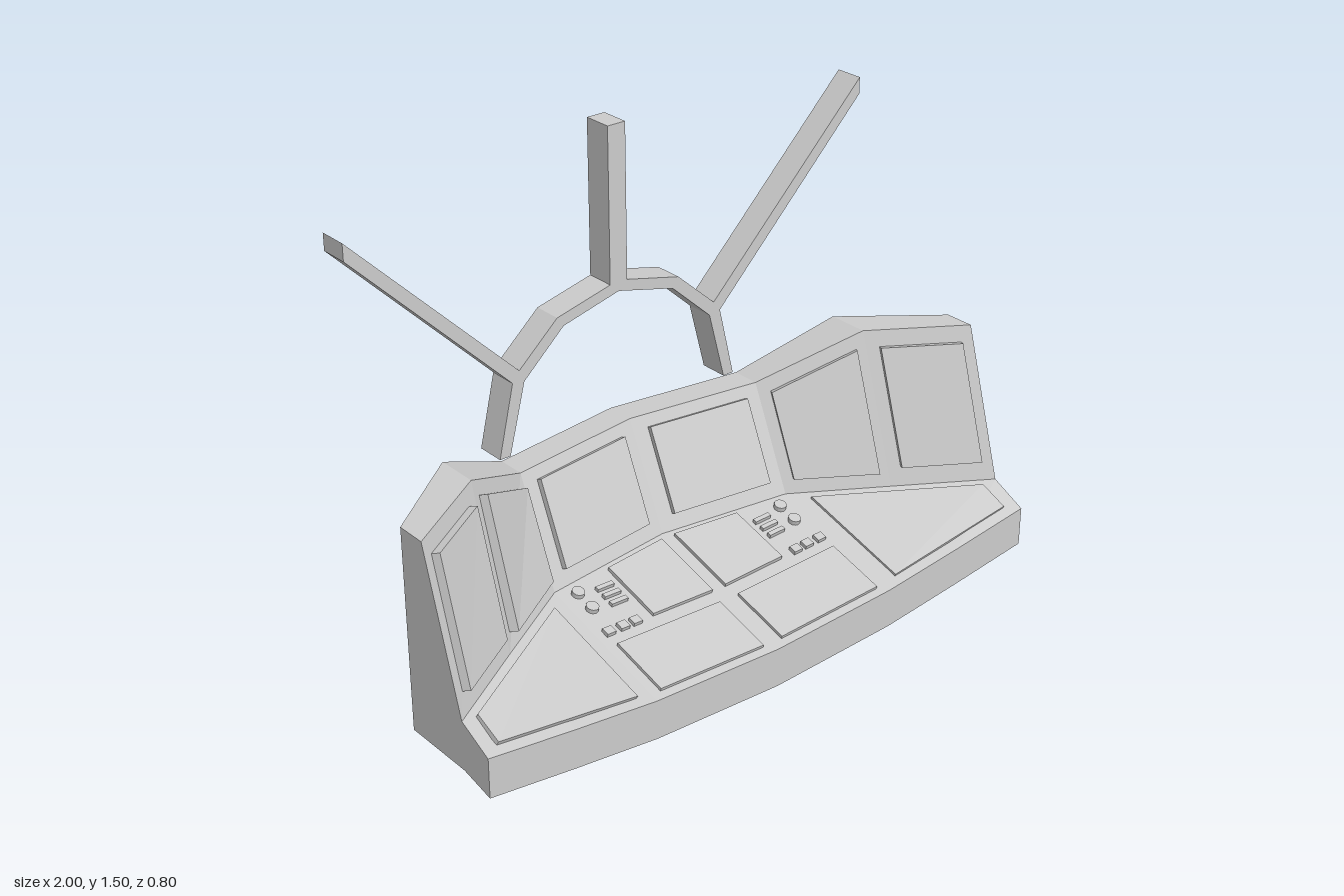
import * as THREE from 'three';

const material = new THREE.MeshStandardMaterial({ color: 0xcccccc, flatShading: true });
const V = (x, y, z) => new THREE.Vector3(x, y, z);

// Half stations: x, front lip bottom y, screen-bank foot z, bank top z, top y, back z
const STATIONS = [
  { x: 0, lip: 0, foot: -0.117, top: -0.265, h: 0.595, back: -0.355 },
  { x: 0.44, lip: 0.02, foot: -0.06, top: -0.205, h: 0.595, back: -0.295 },
  { x: 0.72, lip: 0.053, foot: 0.112, top: -0.035, h: 0.745, back: -0.168 },
  { x: 1, lip: 0.09, foot: 0.287, top: 0.145, h: 0.745, back: 0.05 },
];
const FRONT = 0.4, LIP = 0.125, FOOT_Y = 0.27, BASE_Y = 0.115;

// Station values interpolated at any x >= 0
function stationAt(x) {
  const i = x < 0.44 ? 0 : x < 0.72 ? 1 : 2;
  const a = STATIONS[i], b = STATIONS[i + 1], t = (x - a.x) / (b.x - a.x);
  const s = {};
  for (const k in a) s[k] = THREE.MathUtils.lerp(a[k], b[k], t);
  return s;
}

// Point on the sloping screen bank
function bankPoint(x, y) {
  const s = stationAt(x);
  return V(x, y, THREE.MathUtils.mapLinear(y, FOOT_Y, s.h, s.foot, s.top));
}

// Point on the desk surface
function deskPoint(x, z) {
  const s = stationAt(x);
  return V(x, THREE.MathUtils.mapLinear(z, s.foot, FRONT, FOOT_Y, s.lip + LIP), z);
}

function meshFromTriangles(name, points) {
  const geometry = new THREE.BufferGeometry().setFromPoints(points);
  geometry.computeVertexNormals();
  const mesh = new THREE.Mesh(geometry, material);
  mesh.name = name;
  return mesh;
}

// Faceted console shell, lofted through closed cross-sections
function createConsole() {
  const mirrored = STATIONS.slice(1).reverse().map((s) => ({ ...s, x: -s.x }));
  const rings = [...mirrored, ...STATIONS].map((s) => [
    V(s.x, s.lip, FRONT), V(s.x, s.lip + LIP, FRONT), V(s.x, FOOT_Y, s.foot),
    V(s.x, s.h, s.top), V(s.x, s.h, s.back), V(s.x, BASE_Y, s.back), V(s.x, BASE_Y, s.foot),
  ]);
  const tris = [];
  for (let i = 0; i < rings.length - 1; i++) {
    const a = rings[i], b = rings[i + 1];
    for (let j = 0; j < 7; j++) {
      const k = (j + 1) % 7;
      tris.push(a[j], b[j], b[k], a[j], b[k], a[k]);
    }
  }
  // End caps
  const first = rings[0], last = rings[rings.length - 1];
  for (let j = 0; j < 5; j++) {
    tris.push(first[6], first[j], first[j + 1], last[6], last[j + 1], last[j]);
  }
  return meshFromTriangles('consoleBody', tris);
}

// Raised plate over a counter-clockwise outline lying on a surface
function createPlate(name, outline, depth, side) {
  let pts = outline.map((p) => V(p.x * side, p.y, p.z));
  if (side < 0) pts = pts.reverse();
  const normal = pts[1].clone().sub(pts[0]).cross(pts[2].clone().sub(pts[0])).normalize();
  const top = pts.map((p) => p.clone().addScaledVector(normal, depth));
  const low = pts.map((p) => p.clone().addScaledVector(normal, -0.008));
  const tris = [], n = pts.length;
  for (let i = 0; i < n; i++) {
    const k = (i + 1) % n;
    tris.push(low[i], low[k], top[k], low[i], top[k], top[i]);
    if (i > 0 && i < n - 1) tris.push(top[0], top[i], top[k], low[0], low[k], low[i]);
  }
  return meshFromTriangles(name, tris);
}

// Screens, desk panels and controls of one half
function createInstruments(side) {
  const group = new THREE.Group();
  group.name = side > 0 ? 'leftInstruments' : 'rightInstruments';
  const add = (name, outline, depth) => group.add(createPlate(name, outline, depth, side));
  const bank = (name, corners, depth) => add(name, corners.map(([x, y]) => bankPoint(x, y)), depth);
  const desk = (name, corners, depth) => add(name, corners.map(([x, z]) => deskPoint(x, z)), depth);
  const rect = (x, z, w, d) => [
    [x - w / 2, z + d / 2], [x + w / 2, z + d / 2], [x + w / 2, z - d / 2], [x - w / 2, z - d / 2],
  ];

  // Screens
  bank('centreScreen', [[0.05, 0.315], [0.39, 0.315], [0.39, 0.56], [0.05, 0.56]], 0.018);
  bank('middleScreen', [[0.47, 0.315], [0.695, 0.315], [0.695, 0.69], [0.47, 0.57]], 0.025);
  bank('outerScreen', [[0.755, 0.33], [0.968, 0.33], [0.968, 0.695], [0.755, 0.695]], 0.025);

  // Desk panels
  desk('sideDeskPanel', [[0.49, 0.37], [0.95, 0.37], [0.95, 0.28], [0.49, 0]], 0.01);
  desk('upperDeskPanel', [[0.025, 0.14], [0.245, 0.14], [0.245, -0.065], [0.025, -0.092]], 0.012);
  desk('lowerDeskPanel', [[0.035, 0.375], [0.41, 0.375], [0.41, 0.185], [0.035, 0.185]], 0.01);

  // Knobs, bars and push buttons
  for (const z of [-0.025, 0.04]) {
    const circle = Array.from({ length: 12 }, (_, i) => {
      const a = (i / 12) * Math.PI * 2;
      return [0.385 + 0.019 * Math.cos(a), z - 0.019 * Math.sin(a)];
    });
    desk('knob', circle, 0.014);
  }
  for (const z of [-0.012, 0.02, 0.052]) desk('switchBar', rect(0.3, z, 0.058, 0.014), 0.012);
  for (const x of [0.305, 0.35, 0.4]) desk('pushButton', rect(x, 0.135, 0.03, 0.026), 0.012);
  return group;
}

// Window frame bars, extruded along z
function createBar(name, outline) {
  const shape = new THREE.Shape(outline.map(([x, y]) => new THREE.Vector2(x, y)));
  const geometry = new THREE.ExtrudeGeometry(shape, { depth: 0.093, bevelEnabled: false });
  geometry.translate(0, 0, -0.4);
  const mesh = new THREE.Mesh(geometry, material);
  mesh.name = name;
  return mesh;
}

function createWindowFrame() {
  const frame = new THREE.Group();
  frame.name = 'windowFrame';
  const flip = (pts) => pts.map(([x, y]) => [-x, y]).reverse();
  const outer = [[0.437, 0.592], [0.382, 0.825], [0.36, 0.85], [0.222, 0.973]];
  const inner = [[0.4, 0.592], [0.343, 0.812], [0.2, 0.942]];
  frame.add(createBar('arch', [
    ...outer, [0, 1.027], ...flip(outer), ...flip(inner).reverse(), [0, 0.992], ...[...inner].reverse(),
  ]));
  frame.add(createBar('centrePost', [[-0.031, 1.01], [0.031, 1.01], [0.031, 1.5], [-0.031, 1.5]]));
  frame.add(createBar('leftSpoke', [[0.37, 0.805], [0.935, 1.375], [0.935, 1.427], [0.35, 0.842]]));
  frame.add(createBar('rightSpoke', [[-0.37, 0.805], [-0.35, 0.842], [-0.897, 1.387], [-0.897, 1.335]]));
  return frame;
}

export function createModel() {
  const model = new THREE.Group();
  model.name = 'cockpitConsole';
  model.add(createConsole(), createInstruments(1), createInstruments(-1), createWindowFrame());
  return model;
}
